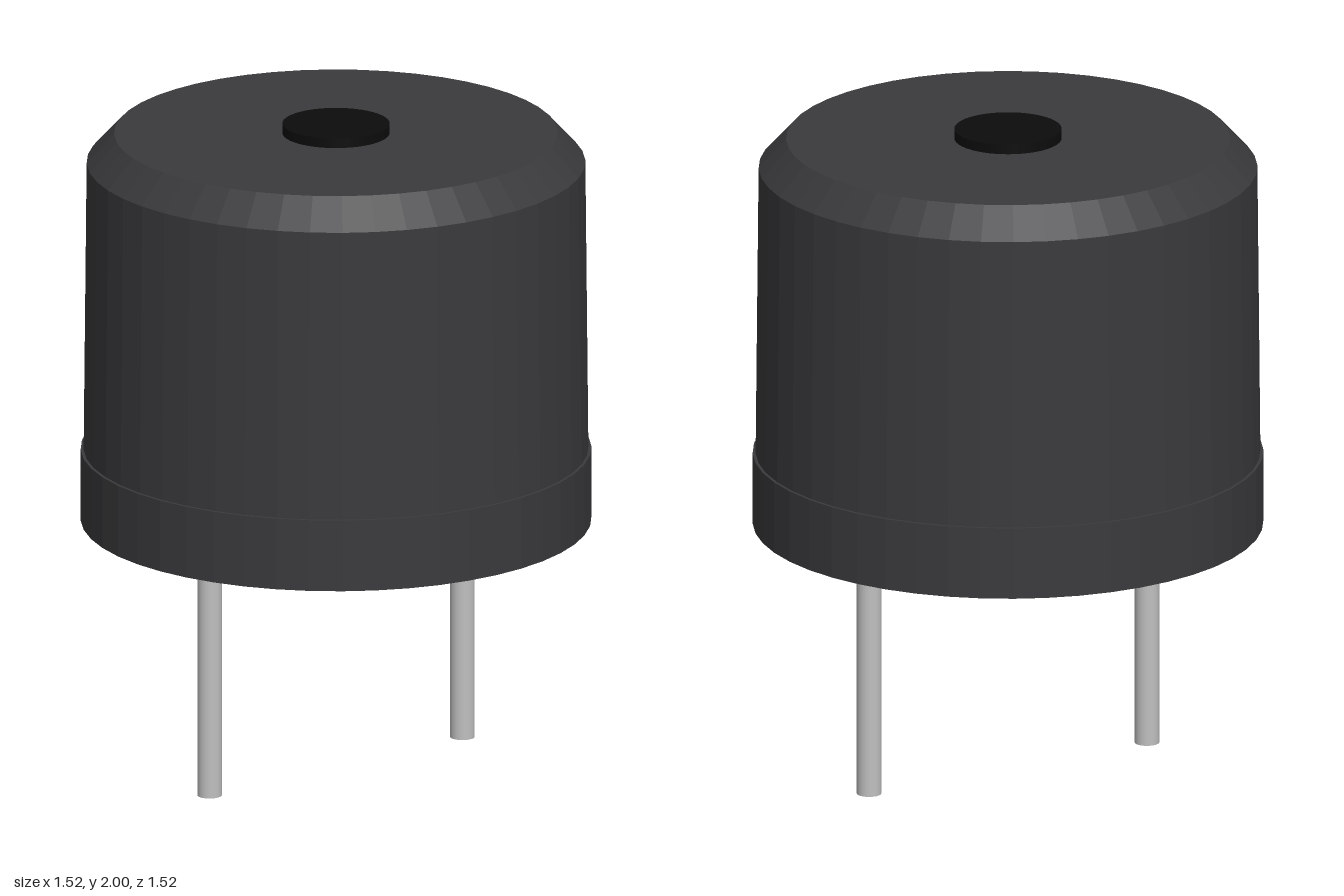
import * as THREE from 'three';

export function createModel() {
  const model = new THREE.Group();
  model.name = 'buzzer';

  const material = (name, color, flatShading = false) => {
    const m = new THREE.MeshStandardMaterial({ color, flatShading });
    m.name = name;
    return m;
  };
  const casing = material('charcoal casing', 0x3a3a3d, true);
  const black = material('black', 0x0c0c0c);
  const metal = material('pin metal', 0xc0c0c0);

  const add = (name, geometry, mat, x, y) => {
    const mesh = new THREE.Mesh(geometry, mat);
    mesh.name = name;
    mesh.position.set(x, y, 0);
    model.add(mesh);
  };

  // Closed case: base band, narrow step, tapered wall, chamfer and flat top
  const profile = [
    [0, 0.77], [0.762, 0.77], [0.762, 0.99], [0.753, 0.99],
    [0.744, 1.88], [0.662, 1.97], [0, 1.97],
  ].map(([r, y]) => new THREE.Vector2(r, y));
  add('case', new THREE.LatheGeometry(profile, 48), casing, 0, 0);

  // Sound port disc, sunk slightly into the top
  add('soundPort', new THREE.CylinderGeometry(0.16, 0.16, 0.04, 48), black, 0, 1.98);

  // Two round contact pins
  for (const side of [1, -1]) {
    add(side > 0 ? 'leftPin' : 'rightPin',
      new THREE.CylinderGeometry(0.037, 0.037, 0.78, 24), metal, side * 0.485, 0.39);
  }

  return model;
}
